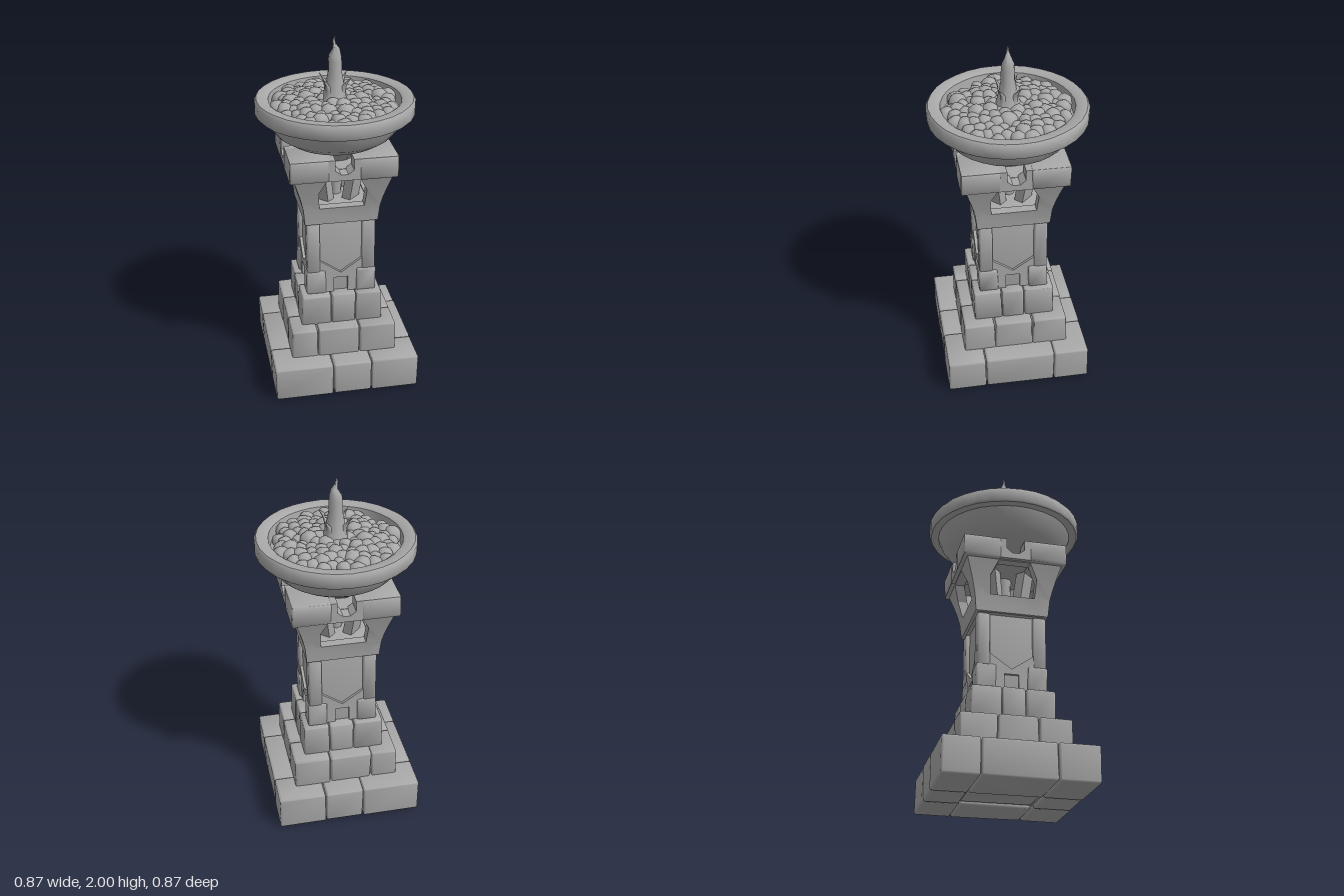
import * as THREE from 'three';
import { mergeVertices, toCreasedNormals } from 'three/addons/utils/BufferGeometryUtils.js';
import { RoundedBoxGeometry } from 'three/addons/geometries/RoundedBoxGeometry.js';

const stone = new THREE.MeshStandardMaterial({ color: 0xa8a8a8 });
stone.name = 'grey stone';

// small seeded random, 0..1
let seed = 7;
const rand = () => (seed = (seed * 16807) % 2147483647) / 2147483647;

// move every vertex by a rule, then weld and shade
function reshape(geo, rule, crease = 0.6) {
  geo.deleteAttribute('uv');
  geo.deleteAttribute('normal');
  const g = mergeVertices(geo, 1e-4), p = g.attributes.position, v = new THREE.Vector3();
  for (let i = 0; i < p.count; i++) {
    v.fromBufferAttribute(p, i);
    rule(v);
    p.setXYZ(i, v.x, v.y, v.z);
  }
  g.computeVertexNormals();
  return toCreasedNormals(g, crease);
}

function add(parent, name, geo, x = 0, y = 0, z = 0) {
  const m = new THREE.Mesh(geo, stone);
  m.name = name;
  m.position.set(x, y, z);
  parent.add(m);
  return m;
}

function group(parent, name) {
  const g = new THREE.Group();
  g.name = name;
  parent.add(g);
  return g;
}

// worn block between two corners
function block(parent, name, x0, x1, y0, y1, z0, z1, wear = 0.005, r = 0.012) {
  const k = rand() * 20;
  const geo = reshape(new RoundedBoxGeometry(x1 - x0, y1 - y0, z1 - z0, 2, r), v => {
    const s = Math.sin(v.x * 31 + v.y * 17 + k), c = Math.cos(v.z * 29 - v.y * 23 + k);
    v.x += wear * (s - 1) * Math.sign(v.x) * 0.5;
    v.y += wear * s * c * 0.4;
    v.z += wear * (c - 1) * Math.sign(v.z) * 0.5;
  }, 0.9);
  return add(parent, name, geo, (x0 + x1) / 2, (y0 + y1) / 2, (z0 + z1) / 2);
}

// one step of the pedestal: a ring of stones around a slightly sunken core
function tier(parent, name, h, y0, y1, xs, zs) {
  const g = group(parent, name), X = [-h, ...xs, h], Z = [-h, ...zs, h];
  for (let i = 0; i < 3; i++) for (let j = 0; j < 3; j++) {
    const sunk = i === 1 && j === 1 ? 0.015 : 0;
    block(g, 'stone', X[i], X[i + 1], y0 + sunk, y1 - sunk * 0.3, Z[j], Z[j + 1]);
  }
  add(g, 'core', new THREE.BoxGeometry(2 * h - 0.05, y1 - y0 - 0.04, 2 * h - 0.05), 0, (y0 + y1) / 2, 0);
}

const shapeOf = pts => new THREE.Shape(pts.map(p => new THREE.Vector2(p[0], p[1])));
const extrude = (shape, depth) => new THREE.ExtrudeGeometry(shape, { depth, bevelEnabled: false });

// copy of a face on all four sides
function fourSides(parent, name, geo, z) {
  for (let i = 0; i < 4; i++) {
    const side = group(parent, name);
    side.rotation.y = i * Math.PI / 2;
    add(side, name, geo, 0, 0, z);
  }
}

const flare = y => 0.203 + 0.1 * Math.max(0, y - 0.99) + 0.3 * Math.max(0, y - 1.09) ** 1.3;

export function createModel() {
  const model = new THREE.Group();
  model.name = 'stoneBrazier';

  // stepped pedestal
  tier(model, 'baseStep', 0.413, 0, 0.2, [-0.08, 0.14], [-0.21, 0.19]);
  tier(model, 'middleStep', 0.302, 0.19, 0.37, [-0.15, 0.09], [-0.1, 0.12]);
  tier(model, 'topStep', 0.232, 0.36, 0.55, [-0.06, 0.08], [-0.06, 0.07]);

  // column with corner posts and pointed sunken panels
  const column = group(model, 'column');
  block(column, 'columnCore', -0.172, 0.172, 0.54, 1.0, -0.172, 0.172, 0.004);
  for (const sx of [-1, 1]) for (const sz of [-1, 1]) {
    const span = (s, a, b) => s > 0 ? [a, b] : [-b, -a];
    block(column, 'cornerPost', ...span(sx, 0.115, 0.195), 0.68, 0.99, ...span(sz, 0.115, 0.195));
    block(column, 'cornerFoot', ...span(sx, 0.085, 0.2), 0.545, 0.69, ...span(sz, 0.085, 0.2));
  }
  const brace = shapeOf([[-0.16, 0.55], [-0.04, 0.55], [-0.04, 0.64], [0.04, 0.64], [0.04, 0.55],
    [0.16, 0.55], [0.16, 0.8], [0.115, 0.75], [0, 0.67], [-0.115, 0.75], [-0.16, 0.8]]);
  fourSides(column, 'panelBrace', extrude(brace, 0.025), 0.162);

  // flared capital with an eight-sided window in each face
  const capital = group(model, 'capital');
  const levels = [0.995, 1.09, 1.15, 1.2, 1.25, 1.3];
  const face = shapeOf([...levels.map(y => [flare(y), y]), ...levels.map(y => [-flare(y), y]).reverse()]);
  face.holes.push(shapeOf([[-0.125, 1.095], [-0.132, 1.2], [-0.09, 1.285], [0.09, 1.285], [0.132, 1.2], [0.125, 1.095]]));
  fourSides(capital, 'windowFace', reshape(extrude(face, 0.055), v => { v.z += flare(v.y) - 0.055; }, 0.5), 0);
  block(capital, 'capitalFloor', -0.19, 0.19, 0.99, 1.09, -0.19, 0.19, 0);

  // leaning bars inside the capital
  const bar = reshape(new THREE.BoxGeometry(0.055, 0.24, 0.09, 1, 3, 1), v => { v.x += 0.1 + (v.y + 0.12) * 0.18; }, 0.3);
  for (let i = 0; i < 4; i++) {
    add(capital, 'innerBar', bar, 0, 1.19, 0).rotation.y = Math.PI / 4 + i * Math.PI / 2;
  }
  add(capital, 'innerStem', new THREE.CylinderGeometry(0.045, 0.035, 0.24, 8), 0, 1.19, 0);

  // square cap, notched in the middle of every side
  const cap = group(model, 'cap');
  const notch = shapeOf([[-0.292, 1.29], [0.292, 1.29], [0.292, 1.41], [0.05, 1.41], [0.05, 1.35],
    [0.02, 1.325], [-0.02, 1.325], [-0.05, 1.35], [-0.05, 1.41], [-0.292, 1.41]]);
  fourSides(cap, 'notchedSide', extrude(notch, 0.09), 0.202);
  for (const sx of [-1, 1]) for (const sz of [-1, 1]) {
    const span = s => s > 0 ? [0.08, 0.297] : [-0.297, -0.08];
    block(cap, 'cornerStone', ...span(sx), 1.288, 1.412, ...span(sz), 0.004);
  }
  add(cap, 'capFloor', new THREE.BoxGeometry(0.44, 0.035, 0.44), 0, 1.31, 0);

  // bowl with a heavy rim, turned in one piece
  const profile = [[0, 1.325], [0.12, 1.33], [0.19, 1.4], [0.26, 1.425], [0.32, 1.465], [0.36, 1.515], [0.385, 1.572],
    [0.428, 1.574], [0.436, 1.584], [0.436, 1.645], [0.425, 1.66], [0.375, 1.66], [0.36, 1.65], [0.352, 1.59], [0, 1.6]];
  const bowl = new THREE.LatheGeometry(profile.map(p => new THREE.Vector2(...p)), 32);
  add(model, 'bowl', reshape(bowl, v => {
    const a = Math.atan2(v.z, v.x), w = 1 + 0.005 * Math.sin(a * 7 + v.y * 30) * Math.sin(a * 3);
    v.x *= w;
    v.z *= w;
  }, 0.75));

  // heap of coals, spread on a spiral
  const coals = group(model, 'coals');
  const coal = reshape(new THREE.IcosahedronGeometry(1, 2), v => {
    v.multiplyScalar(1 + 0.06 * Math.sin(v.x * 4 + v.y * 3) * Math.cos(v.z * 5));
  }, 1);
  const count = 110;
  for (let i = 0; i < count; i++) {
    const t = Math.sqrt((i + 0.5) / count), a = i * 2.39996, r = 0.325 * t;
    const size = 0.034 + 0.02 * rand();
    const m = add(coals, 'coal', coal, r * Math.cos(a), 1.628 - 0.022 * t * t + 0.012 * (rand() - 0.5), r * Math.sin(a));
    m.scale.set(size, size * 0.9, size);
    m.rotation.set(rand() * 6, rand() * 6, rand() * 6);
  }

  // flame: wavering tongue with four small licks on the diagonals
  const flame = group(model, 'flame');
  const tongue = [[0.08, 1.63], [0.062, 1.68], [0.048, 1.74], [0.038, 1.8], [0.037, 1.86], [0.034, 1.89],
    [0.02, 1.925], [0.01, 1.95], [0.006, 1.975], [0, 2]];
  add(flame, 'flameTongue', reshape(new THREE.LatheGeometry(tongue.map(p => new THREE.Vector2(...p)), 10), v => {
    if (v.y > 1.9) v.x += 0.007 * Math.sin((v.y - 1.9) * 70);
  }, 1.2));
  const lick = reshape(new THREE.ConeGeometry(0.034, 0.15, 7, 5), v => {
    const t = (v.y + 0.075) / 0.15;
    v.x += 0.045 + 0.06 * t * t - 0.012 * Math.sin(t * Math.PI);
  }, 1.2);
  for (let i = 0; i < 4; i++) {
    add(flame, 'flameLick', lick, 0, 1.71, 0).rotation.y = (i % 2 ? 1 : -1) * 0.68 + (i > 1 ? Math.PI : 0);
  }
  return model;
}
